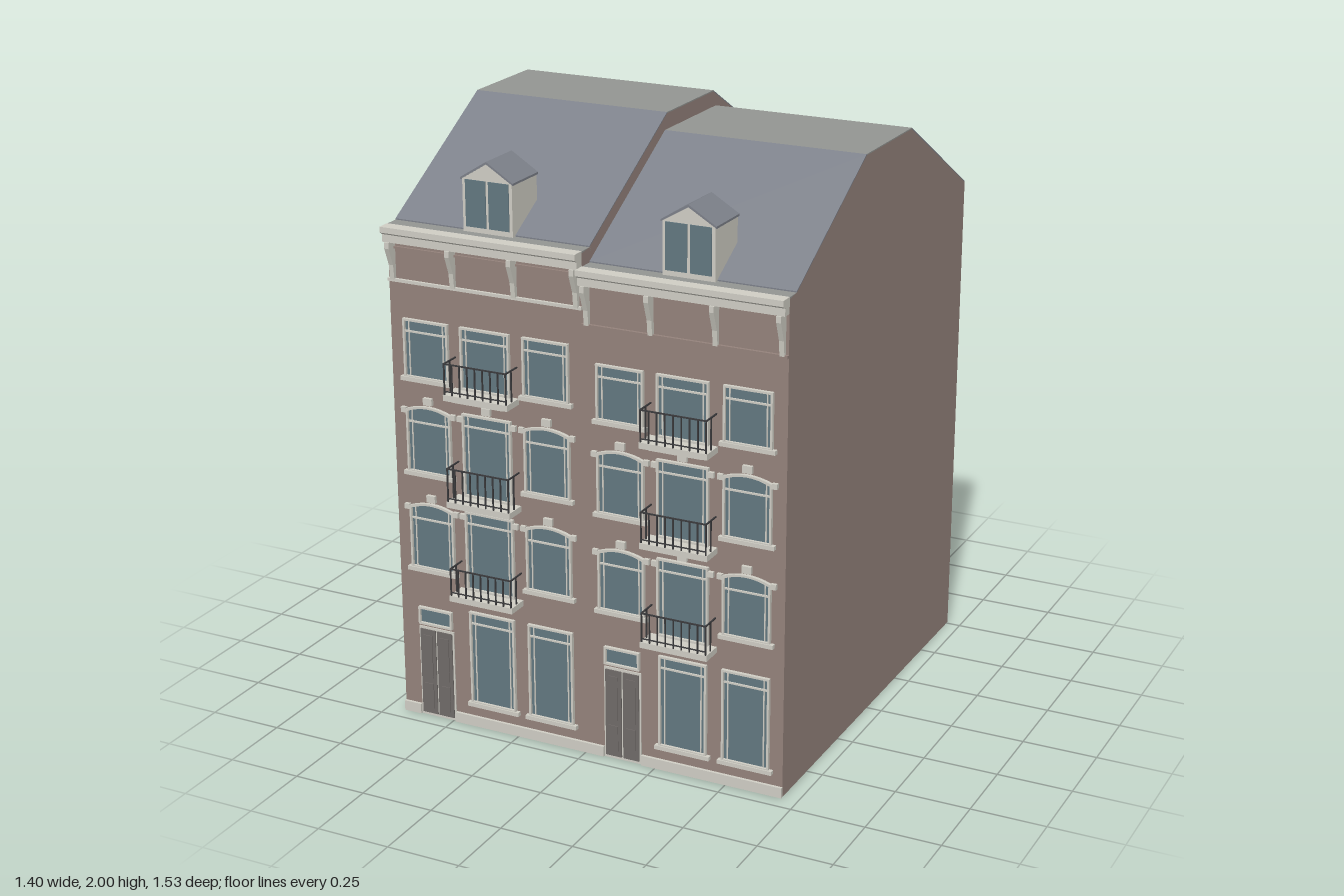
import * as THREE from 'three';

const mat = (color, extra = {}) => new THREE.MeshStandardMaterial({ color, ...extra });
const M = {
  brick: mat(0x94827b), slate: mat(0x7c8089), felt: mat(0x939592), trim: mat(0xcfcdc4),
  glass: mat(0x627780), door: mat(0x6f6a68), iron: mat(0x3a3a3c),
};
const FRONT = 0.69, BACK = -0.76;

function add(parent, name, geo, m) {
  const mesh = new THREE.Mesh(geo, m);
  mesh.name = name;
  parent.add(mesh);
  return mesh;
}

// Box given by its limits on each axis
function block(parent, name, m, x0, x1, y0, y1, z0, z1) {
  const mesh = add(parent, name, new THREE.BoxGeometry(x1 - x0, y1 - y0, z1 - z0), m);
  mesh.position.set((x0 + x1) / 2, (y0 + y1) / 2, (z0 + z1) / 2);
  return mesh;
}

// Extrude a (z, y) profile across x
function across(points, x0, x1) {
  const shape = new THREE.Shape(points.map(([z, y]) => new THREE.Vector2(z, y)));
  const geo = new THREE.ExtrudeGeometry(shape, { depth: x1 - x0, bevelEnabled: false });
  return geo.rotateY(-Math.PI / 2).translate(x1, 0, 0);
}

// Widen the outer side wall slightly toward the back
function splay(geo, outer, amount) {
  const p = geo.attributes.position;
  for (let i = 0; i < p.count; i++) {
    if (Math.abs(p.getX(i) - outer) < 1e-4)
      p.setX(i, outer + Math.sign(outer) * amount * (FRONT - p.getZ(i)) / (FRONT - BACK));
  }
  geo.computeVertexNormals();
  return geo;
}

// Rectangle outline with an optional segmental arch on top
function outline(Type, w, h, rise, inset) {
  const s = new Type(), a = w / 2 - inset, top = h - rise - inset;
  s.moveTo(-a, inset);
  s.lineTo(a, inset);
  s.lineTo(a, top);
  if (rise) s.quadraticCurveTo(0, top + 2 * rise, -a, top);
  else s.lineTo(-a, top);
  s.closePath();
  return s;
}

function windowUnit(parent, { x0, x1, y0, y1, rise = 0, sill = true, keystone = false, bars = true }) {
  const g = new THREE.Group(), w = x1 - x0, h = y1 - y0;
  g.name = 'window';
  g.position.set((x0 + x1) / 2, y0, FRONT);
  parent.add(g);
  const frame = outline(THREE.Shape, w, h, rise, 0);
  frame.holes.push(outline(THREE.Path, w, h, rise, 0.007));
  const opts = { bevelEnabled: false, curveSegments: 8 };
  add(g, 'windowFrame', new THREE.ExtrudeGeometry(frame, { ...opts, depth: 0.012 }), M.trim);
  add(g, 'windowGlass', new THREE.ExtrudeGeometry(outline(THREE.Shape, w, h, rise, 0.005), { ...opts, depth: 0.003 }), M.glass);
  if (bars) {
    const t = h - rise - 0.045;
    block(g, 'transomBar', M.trim, -w / 2, w / 2, t, t + 0.006, 0, 0.008);
    for (const s of [-1, 1]) {
      const c = s * (w / 2 - 0.02);
      block(g, 'casementBar', M.trim, c - 0.002, c + 0.002, 0, h - rise, 0, 0.006);
    }
  }
  if (sill) block(g, 'sill', M.trim, -w / 2 - 0.012, w / 2 + 0.012, -0.011, 0.003, 0, 0.016);
  if (keystone) {
    block(g, 'keystone', M.trim, -0.016, 0.016, h + 0.006, h + 0.03, 0, 0.012);
    for (const s of [-1, 1]) {
      const c = s * (w / 2 + 0.009);
      block(g, 'archBlock', M.trim, c - 0.009, c + 0.009, h - 0.03, h - 0.012, 0, 0.012);
    }
  }
}

function balcony(parent, xc, y, height) {
  const g = new THREE.Group(), a = 0.116, d = 0.074, r = 0.0022;
  g.name = 'balcony';
  g.position.set(xc, y, FRONT);
  parent.add(g);
  block(g, 'balconySlab', M.trim, -a, a, -0.012, 0.008, 0, d + 0.001);
  block(g, 'balconyUnderside', M.trim, -a + 0.025, a - 0.025, -0.02, -0.012, 0, d - 0.015);
  const post = (x, z) => block(g, 'baluster', M.iron, x - r, x + r, 0.008, height, z - r, z + r);
  for (let i = 0; i < 9; i++) post(-a + 0.005 + i * (a - 0.005) / 4, d - r);
  for (const s of [-1, 1]) {
    const x = s * (a - 0.005);
    post(x, d / 2);
    block(g, 'sideRail', M.iron, x - r, x + r, height - 2 * r, height, 0, d);
  }
  block(g, 'frontRail', M.iron, -a + 0.005, a - 0.005, height - 2 * r, height, d - 2 * r, d);
  block(g, 'lowerRail', M.iron, -a + 0.005, a - 0.005, 0.018, 0.021, d - 2 * r, d);
}

function door(parent, x0, x1) {
  const g = new THREE.Group(), xc = (x0 + x1) / 2;
  g.name = 'entrance';
  parent.add(g);
  block(g, 'doorFrame', M.trim, x0 - 0.006, x1 + 0.006, 0, 0.323, FRONT, FRONT + 0.004);
  for (const [a, b] of [[x0, xc - 0.003], [xc + 0.003, x1]]) {
    block(g, 'doorLeaf', M.door, a, b, 0.01, 0.315, FRONT, FRONT + 0.008);
    for (const [p, q] of [[0.03, 0.12], [0.14, 0.295]])
      block(g, 'doorPanel', M.door, a + 0.012, b - 0.012, p, q, FRONT, FRONT + 0.011);
  }
  windowUnit(g, { x0: x0 - 0.003, x1: x1 + 0.003, y0: 0.333, y1: 0.395, sill: false, bars: false });
}

function dormer(parent, xc, y0, eave, peak) {
  const g = new THREE.Group(), a = 0.088, z0 = 0.5, z1 = 0.655;
  g.name = 'dormer';
  parent.add(g);
  const gable = new THREE.Shape([[-a, y0 - 0.02], [a, y0 - 0.02], [a, eave], [0, peak - 0.006], [-a, eave]].map(p => new THREE.Vector2(...p)));
  add(g, 'dormerBody', new THREE.ExtrudeGeometry(gable, { depth: z1 - z0, bevelEnabled: false }), M.trim).position.set(xc, 0, z0);
  for (const s of [-1, 1]) {
    const pts = [[0, peak], [s * (a + 0.005), eave - 0.001], [s * (a + 0.005), eave - 0.008], [0, peak - 0.008]];
    const slope = new THREE.Shape(pts.map(p => new THREE.Vector2(...p)));
    add(g, 'dormerRoof', new THREE.ExtrudeGeometry(slope, { depth: z1 - z0 + 0.004, bevelEnabled: false }), M.slate).position.set(xc, 0, z0 - 0.001);
    const c = xc + s * 0.041;
    block(g, 'dormerGlass', M.glass, c - 0.036, c + 0.036, y0 + 0.008, eave - 0.006, z1, z1 + 0.003);
  }
}

function house(name, h) {
  const g = new THREE.Group();
  g.name = name;
  const { x0, x1, outer, flare, eave, top, zr } = h, z0 = 0.64, e = 0.004;
  // Brick body with the gambrel-like gable
  const ridge = [[z0, eave], [zr[0], top], [zr[1], top], [BACK, eave - 0.003]];
  const body = [[BACK, 0], [FRONT, 0], [FRONT, eave - 0.01], ...ridge.map(([z, y]) => [z, y - e])];
  add(g, 'brickBody', splay(across(body, x0, x1), outer, flare), M.brick);
  // Roof coverings: front slope, flat top, back slope
  for (let i = 0; i < 3; i++) {
    const [p, q] = [ridge[i], ridge[i + 1]];
    const plate = [p, q, [q[0], q[1] - e], [p[0], p[1] - e]];
    add(g, ['frontRoof', 'flatRoof', 'backRoof'][i], splay(across(plate, x0, x1), outer, flare), i === 1 ? M.felt : M.slate);
  }
  block(g, 'gutter', M.felt, x0, x1, eave - 0.02, eave - 0.004, z0 - 0.01, FRONT);
  // Cornice, frieze and brackets
  const steps = [[FRONT, eave - 0.055], [0.722, eave - 0.055], [0.722, eave - 0.03], [0.735, eave - 0.022], [0.735, eave - 0.003], [FRONT, eave - 0.003]];
  add(g, 'cornice', across(steps, x0, x1), M.trim);
  const yt = eave - 0.055, yb = h.friezeBottom;
  const bracket = [[FRONT, yb], [0.701, yb], [0.706, yb + 0.05], [0.728, yt - 0.02], [0.728, yt], [FRONT, yt]];
  for (let i = 0; i < 4; i++) {
    const c = x0 + 0.018 + i * (x1 - x0 - 0.036) / 3;
    add(g, 'corniceBracket', across(bracket, c - 0.008, c + 0.008), M.trim);
  }
  block(g, 'friezeMoulding', h.panels ? M.trim : M.brick, x0, x1, yb - 0.006, yb + 0.004, FRONT, FRONT + 0.01);
  if (h.panels) block(g, 'friezeUpperMoulding', M.brick, x0, x1, yt - 0.025, yt - 0.018, FRONT, FRONT + 0.008);

  // Upper storeys: [sill, head, centre sill, rail top, arched]
  const [cl, cc, cr] = h.columns;
  for (const [y0, y1, yc, rail, arched] of h.storeys) {
    for (const c of [cl, cr])
      windowUnit(g, { x0: c - 0.082, x1: c + 0.082, y0, y1, rise: arched ? 0.016 : 0, keystone: arched });
    windowUnit(g, { x0: cc - 0.089, x1: cc + 0.089, y0: yc, y1, keystone: arched, sill: false });
    balcony(g, cc, yc - 0.008, rail - yc + 0.008);
  }
  // Ground floor
  for (const [c, w] of [[cc, 0.084], [cr, 0.082]])
    windowUnit(g, { x0: c - w, x1: c + w, y0: 0.085, y1: h.shopTop });
  door(g, cl - 0.06, cl + 0.06);
  for (const [a, b] of [[x0, cl - 0.068], [cl + 0.068, x1]])
    block(g, 'plinth', M.trim, a, b, 0, 0.035, FRONT, FRONT + 0.01);
  // Back windows
  for (const c of h.backColumns) for (const [y0, y1] of h.backRows) {
    block(g, 'backWindowFrame', M.trim, c - 0.073, c + 0.073, y0, y1, BACK - 0.003, BACK);
    block(g, 'backWindowGlass', M.glass, c - 0.066, c + 0.066, y0 + 0.008, y1 - 0.008, BACK - 0.005, BACK);
    block(g, 'backLintel', M.trim, c - 0.073, c + 0.073, y1 - 0.008, y1, BACK - 0.006, BACK);
  }
  dormer(g, cc, eave + 0.005, h.dormer[0], h.dormer[1]);
  return g;
}

export function createModel() {
  const model = new THREE.Group();
  model.name = 'townhouses';
  model.add(house('tallHouse', {
    x0: -0.688, x1: 0.005, outer: -0.688, flare: 0.012, eave: 1.698, top: 2, zr: [0.11, -0.23],
    friezeBottom: 1.515, panels: true, columns: [-0.557, -0.342, -0.125], shopTop: 0.415,
    storeys: [[0.535, 0.768, 0.492, 0.588, true], [0.872, 1.103, 0.82, 0.935, true], [1.195, 1.392, 1.183, 1.288, false]],
    backColumns: [-0.59, -0.33, -0.092],
    backRows: [[0.11, 0.335], [0.6, 0.78], [0.945, 1.13], [1.28, 1.44]],
    dormer: [1.868, 1.925],
  }));
  model.add(house('lowHouse', {
    x0: 0.005, x1: 0.695, outer: 0.695, flare: 0.005, eave: 1.65, top: 1.945, zr: [0.125, -0.25],
    friezeBottom: 1.463, panels: false, columns: [0.134, 0.349, 0.568], shopTop: 0.403,
    storeys: [[0.52, 0.738, 0.472, 0.572, true], [0.85, 1.068, 0.808, 0.912, true], [1.16, 1.345, 1.14, 1.247, false]],
    backColumns: [0.604, 0.37, 0.13],
    backRows: [[0.1, 0.32], [0.565, 0.74], [0.905, 1.085], [1.24, 1.395]],
    dormer: [1.82, 1.875],
  }));
  return model;
}
